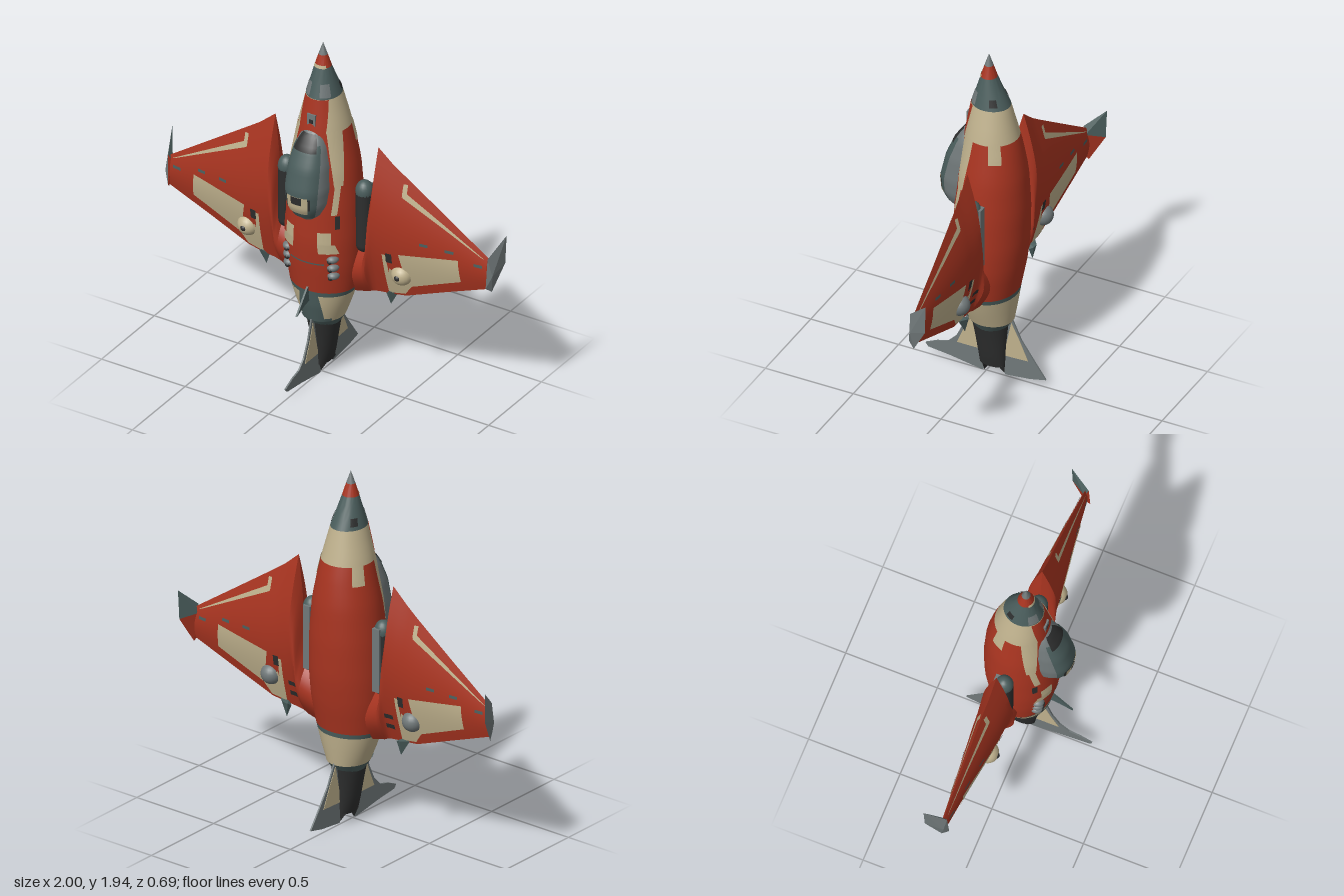
import * as THREE from 'three';
import { toCreasedNormals } from 'three/addons/utils/BufferGeometryUtils.js';
import { ConvexGeometry } from 'three/addons/geometries/ConvexGeometry.js';

const paint = (name, color) => {
  const m = new THREE.MeshStandardMaterial({ color, side: THREE.DoubleSide });
  m.name = name;
  return m;
};
const red = paint('red', 0xa83420), cream = paint('cream', 0xbfb18d), slate = paint('slate', 0x4a5d5c),
  grey = paint('grey', 0x707879), dark = paint('dark', 0x2d2e2e);

// Linear lookup in a table of rows whose first column rises
function lookup(rows, v) {
  let i = 0;
  while (i < rows.length - 2 && v > rows[i + 1][0]) i++;
  const a = rows[i], b = rows[i + 1];
  const k = THREE.MathUtils.clamp((v - a[0]) / (b[0] - a[0]), 0, 1);
  return a.map((n, j) => n + (b[j] - n) * k);
}

// Four-cornered piece of a surface, where surface(u, v) returns [x, y, z]
function patch(surface, [p, q, r, s], nu = 8, nv = 8) {
  const pos = [], index = [];
  const mix = (a, b, k) => a + (b - a) * k;
  for (let j = 0; j <= nv; j++) for (let i = 0; i <= nu; i++) {
    const at = (c) => mix(mix(p[c], q[c], i / nu), mix(s[c], r[c], i / nu), j / nv);
    pos.push(...surface(at(0), at(1)));
    if (i < nu && j < nv) {
      const n = j * (nu + 1) + i, m = n + nu + 1;
      index.push(n, n + 1, m + 1, n, m + 1, m);
    }
  }
  const g = new THREE.BufferGeometry();
  g.setAttribute('position', new THREE.Float32BufferAttribute(pos, 3));
  g.setIndex(index);
  return toCreasedNormals(g, 0.6);
}
const rect = (u0, u1, v0, v1) => [[u0, v0], [u1, v0], [u1, v1], [u0, v1]];

// Fuselage rows: y, half width, front z, back z
const hull = [[0.3, 0.08, 0.055, -0.115], [0.35, 0.11, 0.09, -0.15], [0.45, 0.15, 0.115, -0.165],
  [0.55, 0.183, 0.13, -0.177], [0.7, 0.203, 0.152, -0.207], [0.85, 0.208, 0.163, -0.225],
  [1.05, 0.2, 0.155, -0.23], [1.25, 0.18, 0.138, -0.22], [1.4, 0.15, 0.115, -0.195],
  [1.5, 0.13, 0.1, -0.17], [1.65, 0.09, 0.075, -0.132], [1.8, 0.047, 0.03, -0.062],
  [1.88, 0.022, 0.006, -0.036], [1.94, 0.001, -0.014, -0.016]];
const ring = (rows, lift) => (a, y) => {
  const [, w, f, b] = lookup(rows, y);
  return [(w + lift) * Math.sin(a), y, (f + b) / 2 + ((f - b) / 2 + lift) * Math.cos(a)];
};

// Canopy rows: y, half width, top z
const glass = [[0.98, 0.045, 0.155], [1.02, 0.082, 0.2], [1.08, 0.108, 0.23], [1.17, 0.115, 0.238],
  [1.3, 0.106, 0.208], [1.4, 0.085, 0.163], [1.45, 0.064, 0.13], [1.485, 0.03, 0.1]];
const dome = (lift) => (a, y) => {
  const [, w, top] = lookup(glass, y), s = Math.sin(a);
  const base = 0.085 - 0.05 * Math.max(0, y - 1.2);
  return [(w + lift) * Math.sign(s) * Math.abs(s) ** 0.85, y,
    base + (top + lift - base) * Math.max(0, Math.cos(a)) ** 0.75];
};

// Wing rows: x, leading y, trailing y, middle z, half thickness
const wing = [[0.17, 0.79, 0.51, -0.05, 0.06], [0.25, 0.83, 0.53, -0.05, 0.07], [0.27, 0.92, 0.54, -0.05, 0.078],
  [0.285, 1.2, 0.545, -0.05, 0.08], [0.308, 1.4, 0.55, -0.052, 0.08], [0.4, 1.32, 0.56, -0.055, 0.07],
  [0.47, 1.27, 0.57, -0.06, 0.063], [0.7, 1.11, 0.66, -0.07, 0.038], [0.96, 0.93, 0.76, -0.078, 0.014]];
const wingPoint = (s, face, row, t, lift) =>
  [s * row[0], row[2] + (row[1] - row[2]) * t, row[3] + face * (row[4] * Math.sin(Math.PI * t) + lift)];
const wingSkin = (s, face) => (u, t) => {
  const i = Math.min(Math.floor(u), wing.length - 2), k = u - i;
  return wingPoint(s, face, wing[i].map((n, j) => n + (wing[i + 1][j] - n) * k), t, 0);
};
const wingPaint = (s, face) => (x, y) => {
  const row = lookup(wing, x);
  return wingPoint(s, face, row, THREE.MathUtils.clamp((y - row[2]) / (row[1] - row[2]), 0, 1), 0.004);
};

export function createModel() {
  const model = new THREE.Group();
  const add = (name, geometry, material, parent = model) => {
    const m = new THREE.Mesh(geometry, material);
    m.name = name;
    parent.add(m);
    return m;
  };
  const ball = (name, mat, x, y, z, r, sx = 1, sy = 1, sz = 1) => {
    const m = add(name, new THREE.SphereGeometry(r, 20, 14), mat);
    m.position.set(x, y, z);
    m.scale.set(sx, sy, sz);
  };
  const box = (name, mat, w, h, d, x, y, z) =>
    add(name, new THREE.BoxGeometry(w, h, d), mat).position.set(x, y, z);
  const solid = (name, mat, pts, s = 1, parent = model) =>
    add(name, new ConvexGeometry(pts.map(([x, y, z]) => new THREE.Vector3(s * x, y, z))), mat, parent);

  // Fuselage in coloured bands from tail to nose
  const bands = [[0.3, 0.35, slate], [0.35, 0.52, cream], [0.52, 0.545, slate], [0.545, 1.47, red],
    [1.47, 1.65, cream], [1.65, 1.81, slate], [1.81, 1.875, red], [1.875, 1.94, grey]];
  for (const [y0, y1, mat] of bands)
    add('fuselageBand', patch(ring(hull, 0), rect(-Math.PI, Math.PI, y0, y1), 40, Math.ceil((y1 - y0) / 0.05)), mat);

  // Painted fuselage details
  const decal = (name, mat, corners, lift = 0.003) => add(name, patch(ring(hull, lift), corners, 10, 10), mat);
  decal('noseStripe', red, [[-0.58, 1.46], [0.58, 1.46], [0.85, 1.65], [-0.85, 1.65]]);
  decal('tailPanel', slate, [[-0.6, 0.35], [0.6, 0.35], [0.3, 0.53], [-0.3, 0.53]]);
  decal('tailCollar', slate, rect(-0.9, 0.9, 0.345, 0.37), 0.004);
  decal('seamLine', slate, rect(-0.5, 0.5, 0.725, 0.733));
  decal('noseRing', cream, rect(-0.9, 0.9, 1.808, 1.825));
  for (const s of [-1, 1]) {
    const m = (pts) => pts.map(([a, y]) => [a * s, y]);
    decal('sideStripe', cream, m([[0.78, 1.18], [1.05, 1.18], [1.25, 1.48], [0.62, 1.48]]));
    decal('canopyStripe', cream, m([[0.68, 1.02], [0.84, 1.02], [0.98, 1.18], [0.8, 1.18]]));
    decal('backStripe', cream, m(rect(1.86, 2.3, 1.37, 1.48)));
    decal('chestMark', cream, m(rect(0.34, 0.68, 0.83, 0.92)));
    decal('chestMarkFoot', cream, m([[0.36, 0.795], [0.9, 0.795], [0.78, 0.85], [0.34, 0.85]]), 0.004);
    decal('sideWindow', dark, m(rect(0.78, 0.92, 0.94, 1.015)), 0.005);
    decal('noseVent', dark, m(rect(1.9, 2.35, 1.67, 1.71)));
    decal('nosePanel', grey, m(rect(0.35, 1.0, 1.66, 1.73)));
    // Three exhaust knobs
    for (const y of [0.76, 0.71, 0.66]) {
      ball('knob', grey, s * 0.13, y, 0.092 + (y - 0.66) * 0.08, 0.032, 1, 0.72, 1.1);
      ball('knobTip', dark, s * 0.128, y - 0.008, 0.118 + (y - 0.66) * 0.08, 0.013);
    }
  }
  box('sensor', grey, 0.05, 0.07, 0.02, 0, 1.535, 0.09);
  box('sensorLens', dark, 0.022, 0.022, 0.008, 0, 1.53, 0.098);

  // Cockpit canopy
  const H = Math.PI / 2;
  add('canopyRim', patch(dome(0), rect(-H, H, 0.98, 1.485), 24, 24), grey);
  add('canopyGlass', patch(dome(0.004), [[-0.85, 1.015], [0.85, 1.015], [1.05, 1.42], [-1.05, 1.42]], 16, 16), slate);
  add('canopyHood', patch(dome(0.006), rect(-0.75, 0.75, 1.385, 1.47), 10, 6), dark);
  add('seatFrame', patch(dome(0.006), rect(-0.58, 0.58, 1.08, 1.15), 10, 8), dark);
  add('seat', patch(dome(0.008), rect(-0.46, 0.46, 1.05, 1.155), 8, 8), cream);
  add('headrest', patch(dome(0.011), rect(-0.2, 0.2, 1.11, 1.155), 6, 4), dark);

  // Tail core ending in two prongs
  const core = [[0.06, 0.034, 0.035, -0.108], [0.12, 0.05, 0.042, -0.112], [0.25, 0.073, 0.06, -0.12], [0.34, 0.09, 0.075, -0.13]];
  add('tailCore', patch(ring(core, 0), rect(-Math.PI, Math.PI, 0.06, 0.34), 24, 8), dark);
  solid('tailProng', dark, [[-0.034, 0.066, 0], [0.034, 0.066, 0], [0, 0.066, 0.035], [0, 0.066, -0.03], [0, 0.006, 0.012]]);
  solid('tailProng', dark, [[-0.03, 0.066, -0.09], [0.03, 0.066, -0.09], [0, 0.066, -0.11], [0, 0.066, -0.07], [0, 0.016, -0.106]]);

  // Thin upright tail fins with painted panels
  const plate = (name, mat, pts, depth) => {
    const shape = new THREE.Shape(pts.map(([z, y]) => new THREE.Vector2(z, y)));
    const g = new THREE.ExtrudeGeometry(shape, { depth, bevelEnabled: false });
    add(name, g.translate(0, 0, -depth / 2).rotateY(-Math.PI / 2), mat);
  };
  plate('frontTailFin', grey, [[0.1, 0.36], [0.13, 0.25], [0.17, 0.165], [0.22, 0.115], [0.28, 0.1], [0.345, 0.07],
    [0.33, 0.05], [0.2, 0.035], [0.02, 0.005], [0, 0.04], [-0.03, 0.065], [-0.03, 0.33]], 0.009);
  plate('backTailFin', grey, [[-0.15, 0.36], [-0.2, 0.25], [-0.29, 0.12], [-0.34, 0.05], [-0.25, 0.03],
    [-0.11, 0.015], [-0.09, 0.05], [-0.06, 0.065], [-0.06, 0.33]], 0.009);
  plate('frontFinPanel', cream, [[0.09, 0.335], [0.12, 0.24], [0.165, 0.13], [0.04, 0.13]], 0.014);
  plate('backFinPanel', cream, [[-0.145, 0.34], [-0.19, 0.25], [-0.24, 0.135], [-0.1, 0.13]], 0.014);
  plate('bellyFin', slate, [[0.11, 0.59], [0.14, 0.565], [0.24, 0.445], [0.17, 0.475], [0.1, 0.49]], 0.01);

  for (const s of [-1, 1]) {
    const side = new THREE.Group();
    side.name = s > 0 ? 'leftWing' : 'rightWing';
    model.add(side);

    for (const face of [-1, 1]) {
      add('wingSkin', patch(wingSkin(s, face), rect(0, wing.length - 1, 0, 1), (wing.length - 1) * 3, 14), red, side);
      const mark = (name, mat, pts) => add(name, patch(wingPaint(s, face), pts, 10, 10), mat, side);
      mark('wingPanel', cream, [[0.79, 0.89], [0.8, 0.76], [0.5, 0.64], [0.46, 0.84]]);
      mark('wingPanelFoot', cream, [[0.52, 0.655], [0.47, 0.585], [0.38, 0.568], [0.4, 0.74]]);
      mark('wingPanelEdge', cream, [[0.368, 0.82], [0.388, 0.82], [0.405, 0.6], [0.375, 0.57]]);
      mark('wingStripe', cream, [[0.935, 0.925], [0.91, 0.935], [0.463, 1.165], [0.487, 1.187]]);
      mark('wingStripeEnd', cream, rect(0.463, 0.487, 1.17, 1.235));
      mark('wingVent', dark, rect(0.388, 0.422, 0.775, 0.832));
      for (const [x, y] of [[0.6, 0.93], [0.74, 0.925], [0.9, 0.885]])
        mark('wingRivet', slate, rect(x - 0.024, x + 0.024, y - 0.008, y + 0.008));
      if (face < 0) for (const y of [0.62, 0.68]) mark('rootVent', dark, rect(0.29, 0.34, y, y + 0.025));
    }

    // Tip winglet: grey outside, slate and red on the inner face
    const front = [0.955, 0.94, -0.06], tip = [1.0, 1.04, -0.17], back = [0.995, 0.88, -0.165],
      low = [0.965, 0.74, -0.085], heel = [0.95, 0.77, -0.05], inner = [0.938, 0.9, -0.078];
    solid('winglet', grey, [front, tip, back, low, heel, [0.978, 0.84, -0.07]], s, side);
    solid('wingletInnerFace', slate, [front, tip, back, inner], s, side);
    solid('wingletInnerFoot', red, [front, back, low, heel, inner], s, side);

    // Trailing spike
    solid('trailingSpike', slate, [[0.372, 0.485, -0.07], [0.35, 0.55, -0.06], [0.355, 0.565, -0.085],
      [0.38, 0.575, -0.04], [0.42, 0.57, -0.06], [0.38, 0.57, -0.09]], s, side);

    // Round pod through the wing
    ball('podFront', cream, s * 0.46, 0.705, -0.038, 0.058);
    ball('podEye', dark, s * 0.46, 0.705, 0.008, 0.018);
    ball('podBack', grey, s * 0.46, 0.705, -0.084, 0.056);

    // Engine between fuselage and wing
    const engine = add('engine', new THREE.CapsuleGeometry(0.046, 0.3, 6, 16), dark, side);
    engine.position.set(s * 0.232, 0.965, -0.04);
    ball('engineCap', slate, s * 0.232, 1.125, -0.04, 0.047, 1, 1.3, 1);
    box('engineBackPanel', grey, 0.045, 0.35, 0.03, s * 0.225, 0.975, -0.08);
  }
  return model;
}
